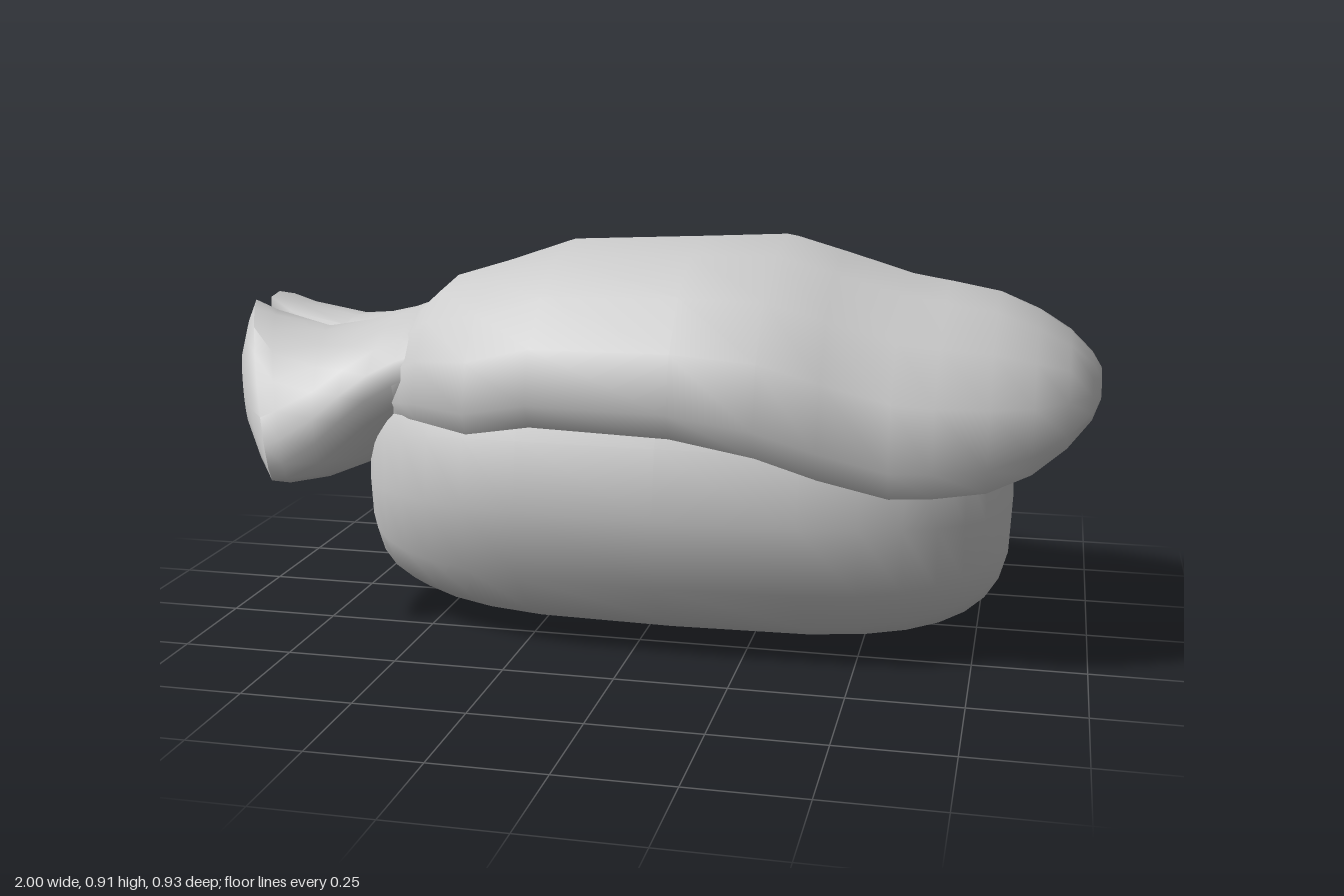
import * as THREE from 'three';
import { toCreasedNormals } from 'three/addons/utils/BufferGeometryUtils.js';

const material = new THREE.MeshStandardMaterial({ color: 0xcccccc });

// Skin closed rings (ordered along +x, each running from +z towards +y) and cap both ends.
function loft(rings, crease, flip = false) {
  const n = rings[0].length;
  const points = rings.flat();
  const index = [];
  const tri = (a, b, c) => (flip ? index.push(a, c, b) : index.push(a, b, c));
  for (let i = 0; i < rings.length - 1; i++) {
    for (let j = 0; j < n; j++) {
      const a = i * n + j, b = i * n + ((j + 1) % n);
      tri(a, a + n, b);
      tri(b, a + n, b + n);
    }
  }
  for (const [row, first] of [[0, true], [rings.length - 1, false]]) {
    const centre = new THREE.Vector3();
    rings[row].forEach((p) => centre.addScaledVector(p, 1 / n));
    const c = points.push(centre) - 1;
    for (let j = 0; j < n; j++) {
      const a = row * n + j, b = row * n + ((j + 1) % n);
      if (first) tri(c, a, b); else tri(c, b, a);
    }
  }
  const geometry = new THREE.BufferGeometry().setFromPoints(points);
  geometry.setIndex(index);
  geometry.computeVertexNormals();
  return toCreasedNormals(geometry, crease);
}

function part(name, geometry) {
  const mesh = new THREE.Mesh(geometry, material);
  mesh.name = name;
  return mesh;
}

const spow = (v, e) => Math.sign(v) * Math.abs(v) ** e;

// Rice block: a pillow whose ends are rounder in plan than in elevation.
function riceGeometry() {
  const rings = [];
  const steps = 18, sides = 16;
  for (let i = 0; i <= steps; i++) {
    const u = spow(Math.sin(Math.PI * (i / steps - 0.5)), 0.5);
    const taper = (n) => Math.max(0.02, (1 - Math.abs(u) ** n) ** (1 / n));
    const ring = [];
    for (let j = 0; j < sides; j++) {
      const t = (j / sides) * Math.PI * 2;
      ring.push(new THREE.Vector3(
        0.065 + 0.755 * u,
        0.33 + 0.33 * taper(3.9) * spow(Math.sin(t), 2 / 2.6),
        0.415 * taper(3) * spow(Math.cos(t), 2 / 2.6)));
    }
    rings.push(ring);
  }
  return loft(rings, 1.2);
}

// Draped topping: arched sections given as [x, half width, rim y, top y, underside y].
function toppingGeometry() {
  const stations = [
    [-0.59, 0.26, 0.50, 0.71, 0.56], [-0.55, 0.29, 0.50, 0.745, 0.57], [-0.50, 0.34, 0.505, 0.79, 0.58],
    [-0.37, 0.385, 0.49, 0.83, 0.60], [-0.21, 0.435, 0.525, 0.885, 0.62], [0.10, 0.435, 0.515, 0.90, 0.62],
    [0.29, 0.465, 0.49, 0.91, 0.60], [0.42, 0.445, 0.445, 0.875, 0.59], [0.57, 0.435, 0.41, 0.83, 0.585],
    [0.66, 0.43, 0.415, 0.815, 0.585], [0.77, 0.395, 0.425, 0.795, 0.585], [0.86, 0.355, 0.46, 0.755, 0.57],
    [0.93, 0.285, 0.505, 0.71, 0.56], [0.98, 0.195, 0.55, 0.66, 0.56], [1.0, 0.08, 0.575, 0.63, 0.58],
  ];
  const rings = stations.map(([x, w, rim, top, under]) => {
    const ring = [];
    const mid = rim + (top - rim) * 0.15;
    for (let j = 0; j <= 8; j++) {
      const t = (j / 8) * Math.PI;
      ring.push(new THREE.Vector3(x, mid + (top - mid) * Math.sin(t), w * Math.cos(t)));
    }
    // tucked rim, then the hollow underside back to the start
    for (let j = 0; j <= 8; j++) {
      const u = -1 + j / 4;
      ring.push(new THREE.Vector3(x, rim + (under - rim) * (1 - u * u) ** 1.3, 0.93 * w * u));
    }
    return ring;
  });
  return loft(rings, 1.1);
}

// Tail lobe: tilted ellipses [x, centre z, half z, centre y, half y, phase, end slant].
function tailGeometry(side) {
  const stations = [
    [-0.96, 0.21, 0.075, 0.54, 0.075, 0.9, 1],
    [-0.936, 0.21, 0.14, 0.54, 0.14, 0.9, 1],
    [-0.912, 0.21, 0.187, 0.54, 0.184, 0.9, 1],
    [-0.87, 0.20, 0.185, 0.525, 0.176, 0.75, 0.9],
    [-0.77, 0.165, 0.178, 0.508, 0.163, 0.4, 0.5],
    [-0.70, 0.09, 0.235, 0.518, 0.165, 0.15, 0.2],
    [-0.63, 0.01, 0.292, 0.54, 0.163, 0, 0],
    [-0.57, 0, 0.283, 0.575, 0.15, 0, 0],
    [-0.50, 0, 0.26, 0.61, 0.12, 0, 0],
  ];
  const rings = stations.map(([x, cz, hz, cy, hy, phase, slant]) => {
    const ring = [];
    for (let j = 0; j < 18; j++) {
      const t = (j / 18) * Math.PI * 2;
      const dz = hz * Math.cos(t), dy = hy * Math.sin(t - phase);
      ring.push(new THREE.Vector3(x + slant * (0.3 * dz - 0.2 * dy), cy + dy, side * (cz + dz)));
    }
    return ring;
  });
  return loft(rings, 0.9, side < 0);
}

export function createModel() {
  const group = new THREE.Group();
  group.name = 'nigiri';
  group.add(part('rice', riceGeometry()));
  group.add(part('prawnBody', toppingGeometry()));
  group.add(part('tailLobeFront', tailGeometry(1)));
  group.add(part('tailLobeBack', tailGeometry(-1)));
  return group;
}
